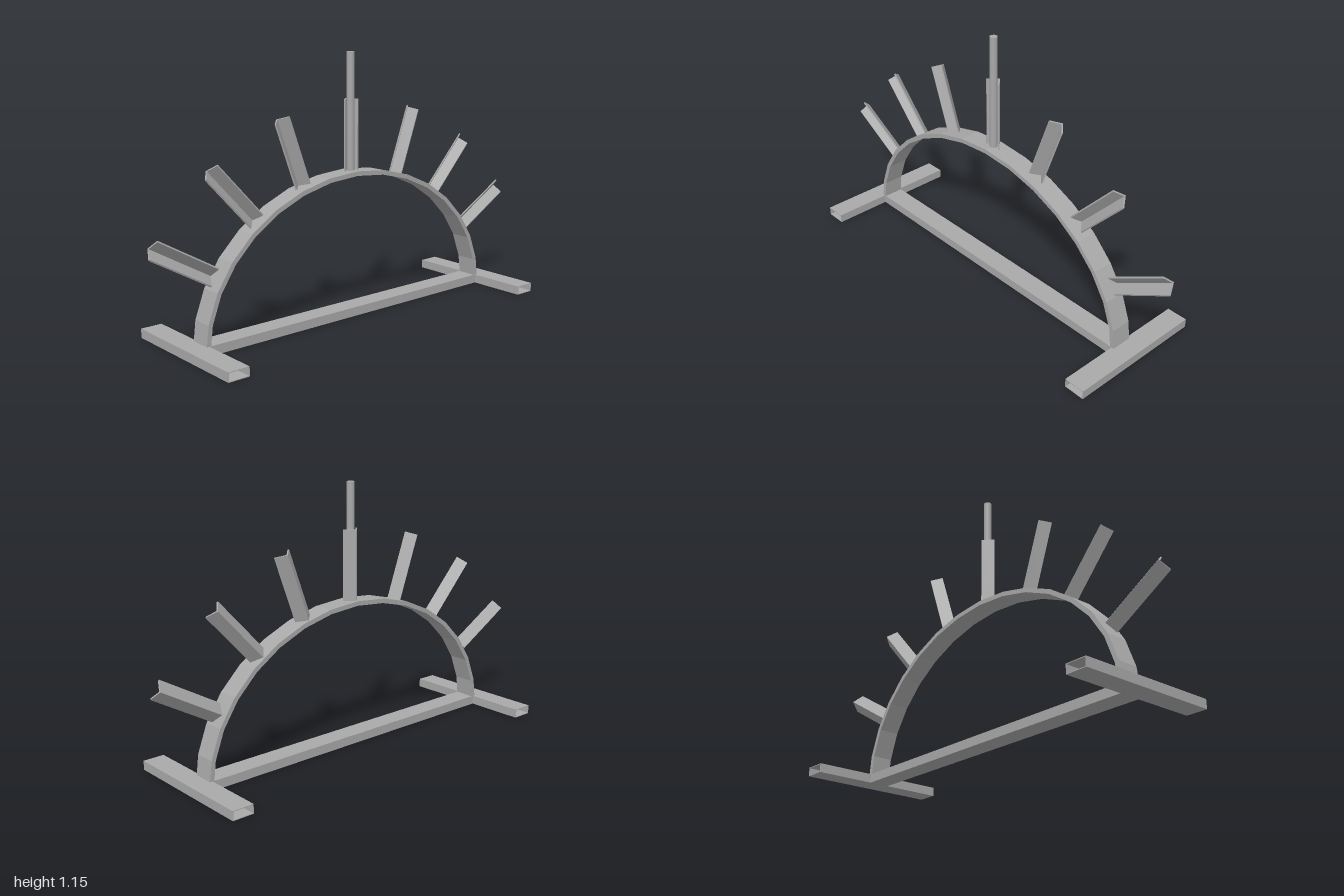
import * as THREE from 'three';

const steel = new THREE.MeshStandardMaterial({ color: 0xa8a8a8, side: THREE.DoubleSide });
steel.name = 'steel grey';

function part(name, geometry, parent) {
  const mesh = new THREE.Mesh(geometry, steel);
  mesh.name = name;
  parent.add(mesh);
  return mesh;
}

function polygon(points) {
  return new THREE.Shape(points.map(([x, y]) => new THREE.Vector2(x, y)));
}

function extrude(shape, depth) {
  return new THREE.ExtrudeGeometry(shape, { depth, bevelEnabled: false });
}

// Hollow rectangular section, centred on its length along z, standing on y = 0
function boxTube(width, height, length, wall) {
  const rect = (w, y0, y1) => [[-w, y0], [w, y0], [w, y1], [-w, y1]];
  const shape = polygon(rect(width / 2, 0, height));
  shape.holes.push(polygon(rect(width / 2 - wall, wall, height - wall)));
  return extrude(shape, length).translate(0, 0, -length / 2);
}

// Flat bar bent into half an ellipse
function archGeometry(a, b, thickness, width, segments) {
  const outer = [], inner = [];
  for (let i = 0; i <= segments; i++) {
    const t = (Math.PI * i) / segments;
    outer.push([a * Math.cos(t), b * Math.sin(t)]);
    inner.unshift([(a - thickness) * Math.cos(t), (b - thickness) * Math.sin(t)]);
  }
  return extrude(polygon([...outer, ...inner]), width).translate(0, 0, -width / 2);
}

// Angle iron running up y from the origin, its corner to the back
function angleIron(length) {
  const w = 0.041, apex = 0.037, front = -0.007, t = 0.009;
  const shape = polygon([
    [0, apex], [-w, apex - w], [-w + 0.006, front], [0, apex - t], [w - 0.006, front], [w, apex - w],
  ]);
  // shape y becomes -z, extrusion depth becomes +y
  return extrude(shape, length).rotateX(-Math.PI / 2);
}

export function createModel() {
  const model = new THREE.Group();
  model.name = 'sunburstArch';

  // Base: two hollow feet joined by a crossbar
  for (const side of [-1, 1]) {
    const foot = part(side > 0 ? 'leftFoot' : 'rightFoot', boxTube(0.095, 0.04, 0.636, 0.003), model);
    foot.position.x = side * 0.818;
  }
  part('crossbar', boxTube(0.095, 0.04, 1.57, 0.003).rotateY(Math.PI / 2), model);

  part('arch', archGeometry(0.787, 0.645, 0.02, 0.095, 16), model);

  // Rays: outer end position and angle from horizontal, on both sides
  const rays = new THREE.Group();
  rays.name = 'rays';
  model.add(rays);
  const length = 0.31;
  const ends = [[0.977, 0.453, 30], [0.712, 0.717, 47], [0.369, 0.891, 70]];
  const addRay = (x, y, degrees) => {
    const a = THREE.MathUtils.degToRad(degrees);
    const ray = part('ray', angleIron(length), rays);
    ray.position.set(x - length * Math.cos(a), y - length * Math.sin(a), 0);
    ray.rotation.z = a - Math.PI / 2;
  };
  for (const [x, y, degrees] of ends) {
    addRay(x, y, degrees);
    addRay(-x, y, 180 - degrees);
  }
  addRay(0, 0.953, 90);

  // Round rod held in the middle ray
  part('rod', new THREE.CylinderGeometry(0.017, 0.017, 0.515, 20), model).position.y = 0.8975;

  return model;
}
